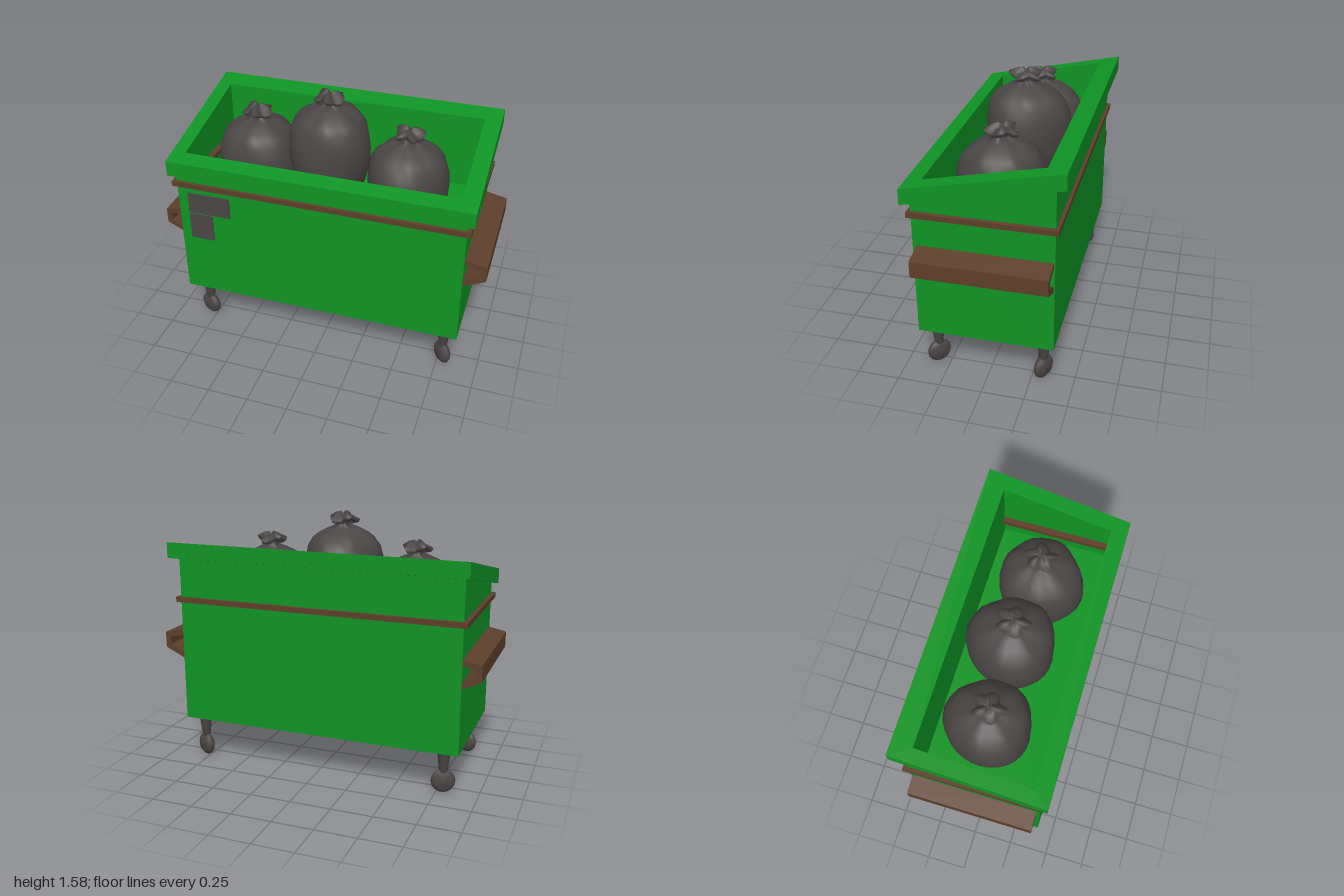
import * as THREE from 'three';
import { mergeVertices } from 'three/addons/utils/BufferGeometryUtils.js';

const mat = (name, color, extra = {}) => {
  const m = new THREE.MeshStandardMaterial({ color, ...extra });
  m.name = name;
  return m;
};

const SLOPE = 0.217; // the top rises towards the back

// Rectangular frame with a hole, rising from y0 to y1; rect = [xMin, xMax, zMin, zMax]
function frame(outer, inner, y0, y1) {
  const path = (P, [a, b, c, d]) => {
    const p = new P();
    p.moveTo(a, -d);
    p.lineTo(b, -d);
    p.lineTo(b, -c);
    p.lineTo(a, -c);
    p.closePath();
    return p;
  };
  const shape = path(THREE.Shape, outer);
  shape.holes.push(path(THREE.Path, inner));
  const g = new THREE.ExtrudeGeometry(shape, { depth: y1 - y0, bevelEnabled: false });
  return g.rotateX(-Math.PI / 2).translate(0, y0, 0);
}

// Lean every vertex above minY along the slope
function slant(g, minY) {
  const p = g.attributes.position;
  for (let i = 0; i < p.count; i++) {
    if (p.getY(i) > minY) p.setY(i, p.getY(i) - SLOPE * p.getZ(i));
  }
  g.computeVertexNormals();
  return g;
}

// Tied sack with its tip at y = 0: pleats near the neck, soft dents below
function bagGeometry(seed) {
  const profile = [
    [0, -0.67], [0.14, -0.66], [0.21, -0.58], [0.24, -0.46], [0.245, -0.36], [0.24, -0.28],
    [0.222, -0.2], [0.19, -0.155], [0.145, -0.12], [0.09, -0.092], [0.042, -0.072],
    [0.075, -0.05], [0.085, -0.032], [0.05, -0.012], [0.02, -0.005], [0, -0.02],
  ].map(([r, y]) => new THREE.Vector2(r, y));
  let g = new THREE.LatheGeometry(profile, 28);
  g.deleteAttribute('uv');
  g.deleteAttribute('normal');
  const p = g.attributes.position;
  for (let i = 0; i < p.count; i++) {
    const x = p.getX(i), y = p.getY(i), z = p.getZ(i);
    const a = Math.atan2(x, z);
    const neck = THREE.MathUtils.smoothstep(y, -0.25, -0.09);
    const knot = y > -0.06 ? 1 : 0;
    const corner = 0.12 * Math.max(0, -Math.cos(a)) ** 6;
    const k = 1 + corner * (1 - neck) + 0.025 * Math.sin(3 * a + seed + y * 9)
      + 0.07 * neck * Math.sin(7 * a + seed) + 0.2 * knot * Math.sin(5 * a + seed);
    p.setXYZ(i, x * k, y + knot * 0.014 * Math.sin(3 * a + seed * 2), z * k);
  }
  g = mergeVertices(g, 1e-4);
  g.computeVertexNormals();
  return g;
}

export function createModel() {
  const root = new THREE.Group();
  root.name = 'dumpster';
  const green = mat('green paint', 0x0f9424);
  const brown = mat('brown rust', 0x5e3f2b);
  const grey = mat('dark grey', 0x4b4646);
  const add = (name, geo, material, parent = root) => {
    const m = new THREE.Mesh(geo, material);
    m.name = name;
    parent.add(m);
    return m;
  };

  // Container: walls with a slanted top, inner floor and overhanging rim
  const opening = [-0.84, 0.815, -0.33, 0.35];
  add('walls', slant(frame([-0.89, 0.87, -0.39, 0.405], opening, 0.27, 1.23), 0.5), green);
  add('floor', new THREE.BoxGeometry(1.66, 0.629, 0.69).translate(-0.0125, 0.5855, 0.01), green);
  add('rim', slant(frame([-0.925, 0.915, -0.45, 0.45], opening, 1.21, 1.304), 0), green);

  // Belt around the container, showing inside at both ends
  add('belt', frame([-0.915, 0.895, -0.41, 0.425], [-0.805, 0.78, -0.335, 0.355], 1.028, 1.06), brown);

  // Side handles: bent channels
  const channel = new THREE.Shape([
    [0.85, 0.852], [1, 0.82], [1, 0.722], [0.85, 0.652],
    [0.85, 0.69], [0.965, 0.745], [0.965, 0.793], [0.85, 0.817],
  ].map(([x, y]) => new THREE.Vector2(x, y)));
  const handleGeo = new THREE.ExtrudeGeometry(channel, { depth: 0.765, bevelEnabled: false });
  handleGeo.translate(0, 0, -0.3825);
  add('leftHandle', handleGeo, brown);
  add('rightHandle', handleGeo, brown).rotation.y = Math.PI;

  // Plates on the front
  add('upperPlate', new THREE.BoxGeometry(0.27, 0.135, 0.009).translate(-0.69, 0.918, 0.4085), grey);
  add('lowerPlate', new THREE.BoxGeometry(0.15, 0.175, 0.009).translate(-0.75, 0.753, 0.4085), grey);

  // Casters, each swivelled its own way
  const wheelGeo = new THREE.LatheGeometry([
    [0, -0.032], [0.048, -0.028], [0.068, -0.013], [0.073, 0], [0.068, 0.013], [0.048, 0.028], [0, 0.032],
  ].map(([r, y]) => new THREE.Vector2(r, y)), 16).rotateX(Math.PI / 2);
  const legGeo = new THREE.CylinderGeometry(0.042, 0.022, 0.17, 8).translate(0, 0.19, 0);
  const casters = [[0.78, 0.32, 135], [-0.79, 0.32, -20], [0.78, -0.315, 150], [-0.79, -0.315, 200]];
  for (const [x, z, angle] of casters) {
    const caster = new THREE.Group();
    caster.name = 'caster';
    caster.position.set(x, 0, z);
    caster.rotation.y = THREE.MathUtils.degToRad(angle);
    root.add(caster);
    add('wheel', wheelGeo, grey, caster).position.y = 0.074;
    add('leg', legGeo, grey, caster);
  }

  // Rubbish bags
  const bags = [[-0.515, 1.425, -0.01, 0, 1], [-0.055, 1.575, -0.01, 0, 1], [0.435, 1.425, 0.01, Math.PI, 2.5]];
  for (const [x, y, z, turn, seed] of bags) {
    const bag = add('rubbishBag', bagGeometry(seed), grey);
    bag.position.set(x, y, z);
    bag.rotation.y = turn;
  }
  return root;
}
